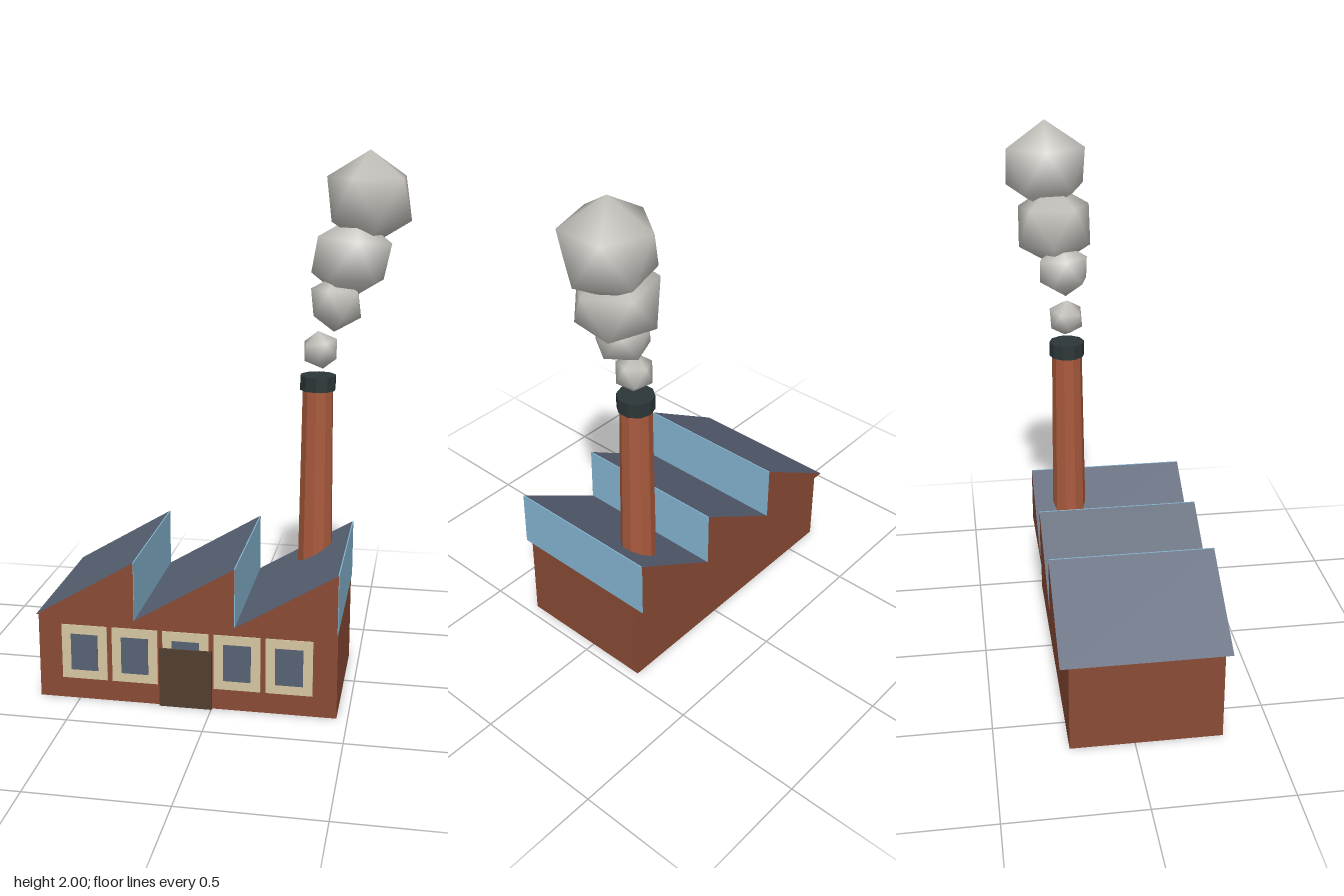
import * as THREE from 'three';
import { mergeVertices } from 'three/addons/utils/BufferGeometryUtils.js';

const paint = (name, color, flatShading = false) => {
  const m = new THREE.MeshStandardMaterial({ color, flatShading });
  m.name = name;
  return m;
};

export function createModel() {
  const brick = paint('brick', 0x8a4b35);
  const chimneyBrick = paint('chimney brick', 0xaa5a3d, true);
  const slate = paint('slate', 0x586274);
  const glass = paint('skylight glass', 0x88b9d6);
  const cream = paint('window frame cream', 0xd6c8a2);
  const wood = paint('door wood', 0x523e2f);
  const iron = paint('iron', 0x2c3638, true);
  const smoke = paint('smoke', 0xc6c3be);

  const model = new THREE.Group();
  model.name = 'factory';
  const add = (name, geometry, material, x, y, z, parent = model) => {
    const mesh = new THREE.Mesh(geometry, material);
    mesh.name = name;
    mesh.position.set(x, y, z);
    parent.add(mesh);
    return mesh;
  };

  // Main hall
  const left = -0.652, width = 1.112, wallTop = 0.337, front = 0.32, back = -0.235;
  add('hall', new THREE.BoxGeometry(width, wallTop, front - back), brick,
    left + width / 2, wallTop / 2, (front + back) / 2);

  // Sawtooth roof: brick gables, slate slopes, glazed upright faces
  const tooth = width / 3, rise = 0.223, roofBack = -0.265, roofDepth = 0.615;
  const profile = new THREE.Shape();
  profile.moveTo(0, 0);
  profile.lineTo(tooth, 0);
  profile.lineTo(tooth, rise);
  profile.closePath();
  const toothGeometry = new THREE.ExtrudeGeometry(profile, { depth: roofDepth, bevelEnabled: false });
  const glassGeometry = new THREE.BoxGeometry(0.004, rise, roofDepth);
  for (let i = 0; i < 3; i++) {
    const x = left + i * tooth;
    add('roofTooth', toothGeometry, [brick, slate], x, wallTop, roofBack);
    add('skylight', glassGeometry, glass, x + tooth, wallTop + rise / 2, roofBack + roofDepth / 2);
  }

  // Row of front windows
  for (let i = 0; i < 5; i++) {
    const win = new THREE.Group();
    win.name = 'window';
    win.position.set(-0.478 + i * 0.191, 0.187, front);
    add('windowFrame', new THREE.BoxGeometry(0.172, 0.212, 0.006), cream, 0, 0, 0.001, win);
    add('windowPane', new THREE.BoxGeometry(0.102, 0.142, 0.006), slate, 0, 0, 0.003, win);
    model.add(win);
  }

  // Door
  add('door', new THREE.BoxGeometry(0.195, 0.228, 0.02), wood, -0.096, 0.114, front + 0.002);

  // Chimney with its cap
  const cx = 0.326, cz = -0.124;
  add('chimney', new THREE.CylinderGeometry(0.058, 0.068, 0.8, 10), chimneyBrick, cx, 0.735, cz);
  add('chimneyCap', new THREE.CylinderGeometry(0.068, 0.068, 0.055, 10), iron, cx, 1.147, cz);

  // Smoke puffs: smooth-shaded icosahedra standing on a corner
  const puff = new THREE.IcosahedronGeometry(1, 0);
  puff.deleteAttribute('normal');
  puff.deleteAttribute('uv');
  const puffGeometry = mergeVertices(puff);
  puffGeometry.rotateX(-Math.atan2((1 + Math.sqrt(5)) / 2, 1));
  puffGeometry.computeVertexNormals();
  // [x, y, z, radius, turn, lean]
  [
    [0.333, 1.27, -0.125, 0.073, 0.5, 0.15],
    [0.387, 1.447, -0.127, 0.107, 1.0, -0.08],
    [0.437, 1.61, -0.155, 0.16, 0.2, -0.1],
    [0.496, 1.825, -0.18, 0.175, -0.33, 0],
  ].forEach(([x, y, z, r, turn, lean]) => {
    const mesh = add('smokePuff', puffGeometry, smoke, x, y, z);
    mesh.scale.setScalar(r);
    mesh.rotation.set(0, turn, lean);
  });

  return model;
}
